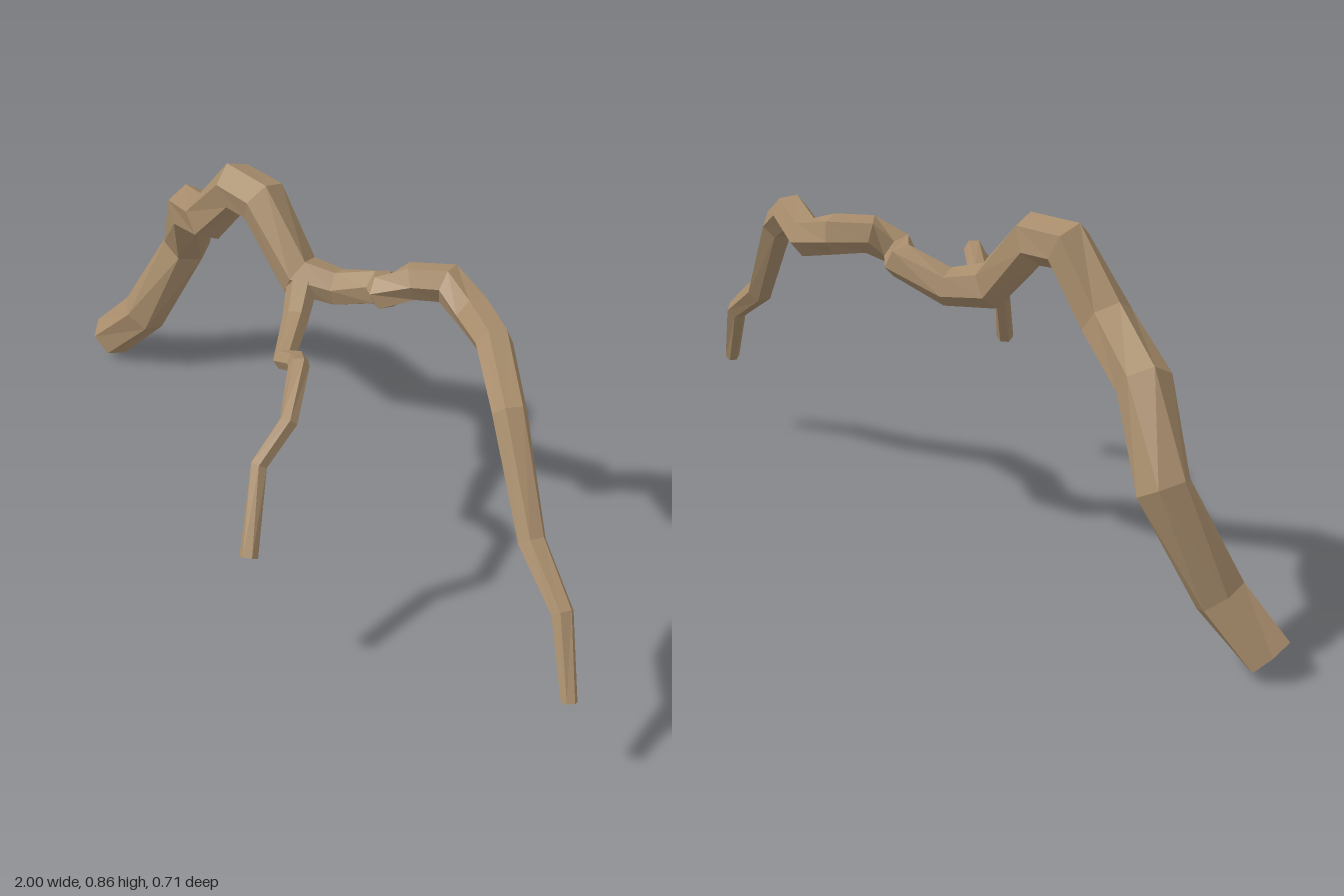
import * as THREE from 'three';

const SIDES = 6;
const bark = new THREE.MeshStandardMaterial({ color: 0xa88d6c, flatShading: true });

// Hexagonal limb through rings of [x, y, z, radius], slowly twisting from startAngle to endAngle
function limb(name, rings, startAngle, endAngle) {
  const up = new THREE.Vector3(0, 1, 0);
  const centres = rings.map(([x, y, z]) => new THREE.Vector3(x, y, z));
  const last = rings.length - 1;
  const positions = [];
  const index = [];

  centres.forEach((c, i) => {
    // ring plane halves the bend between the neighbouring segments
    const tangent = new THREE.Vector3();
    if (i > 0) tangent.add(c.clone().sub(centres[i - 1]).normalize());
    if (i < last) tangent.add(centres[i + 1].clone().sub(c).normalize());
    tangent.normalize();
    const side = tangent.clone().cross(up).normalize();
    const top = side.clone().cross(tangent);
    const turn = THREE.MathUtils.lerp(startAngle, endAngle, i / last);
    for (let j = 0; j < SIDES; j++) {
      const a = turn + (j / SIDES) * Math.PI * 2;
      const p = c.clone()
        .addScaledVector(side, Math.cos(a) * rings[i][3])
        .addScaledVector(top, Math.sin(a) * rings[i][3]);
      positions.push(p.x, p.y, p.z);
    }
  });

  // side faces
  for (let i = 0; i < last; i++) {
    for (let j = 0; j < SIDES; j++) {
      const k = (j + 1) % SIDES;
      const a = i * SIDES + j, b = i * SIDES + k;
      index.push(a, a + SIDES, b, b, a + SIDES, b + SIDES);
    }
  }
  // cut ends
  const e = last * SIDES;
  for (let j = 1; j < SIDES - 1; j++) {
    index.push(0, j, j + 1, e, e + j + 1, e + j);
  }

  const geometry = new THREE.BufferGeometry();
  geometry.setAttribute('position', new THREE.Float32BufferAttribute(positions, 3));
  geometry.setIndex(index);
  geometry.computeVertexNormals();
  const mesh = new THREE.Mesh(geometry, bark);
  mesh.name = name;
  return mesh;
}

export function createModel() {
  const group = new THREE.Group();
  group.name = 'branch';

  // thick end on the ground, arching over to the thin tip
  group.add(limb('mainBranch', [
    [-0.955, 0.037, -0.16, 0.058],
    [-0.85, 0.155, -0.2, 0.06],
    [-0.757, 0.39, -0.28, 0.062],
    [-0.643, 0.575, -0.215, 0.061],
    [-0.472, 0.66, -0.145, 0.06],
    [-0.357, 0.8, -0.145, 0.06],
    [-0.265, 0.8, -0.152, 0.06],
    [-0.127, 0.665, -0.152, 0.054],
    [-0.04, 0.655, -0.2, 0.044],
    [0.075, 0.7, -0.235, 0.043],
    [0.11, 0.715, -0.21, 0.042],
    [0.155, 0.75, -0.255, 0.044],
    [0.212, 0.75, -0.312, 0.047],
    [0.312, 0.722, -0.305, 0.046],
    [0.448, 0.745, -0.24, 0.043],
    [0.59, 0.675, -0.16, 0.04],
    [0.755, 0.458, -0.09, 0.033],
    [0.895, 0.37, -0.055, 0.026],
    [0.99, 0.21, 0, 0.018],
  ], Math.PI / 2, Math.PI / 3));

  // thin side twig reaching forward
  group.add(limb('sideTwig', [
    [-0.105, 0.66, -0.145, 0.038],
    [-0.045, 0.615, -0.075, 0.031],
    [0.04, 0.59, 0.025, 0.026],
    [0.095, 0.617, 0.03, 0.025],
    [0.15, 0.652, 0.07, 0.024],
    [0.24, 0.597, 0.17, 0.022],
    [0.23, 0.507, 0.245, 0.021],
    [0.31, 0.34, 0.337, 0.021],
  ], Math.PI / 3, Math.PI / 3));

  return group;
}
